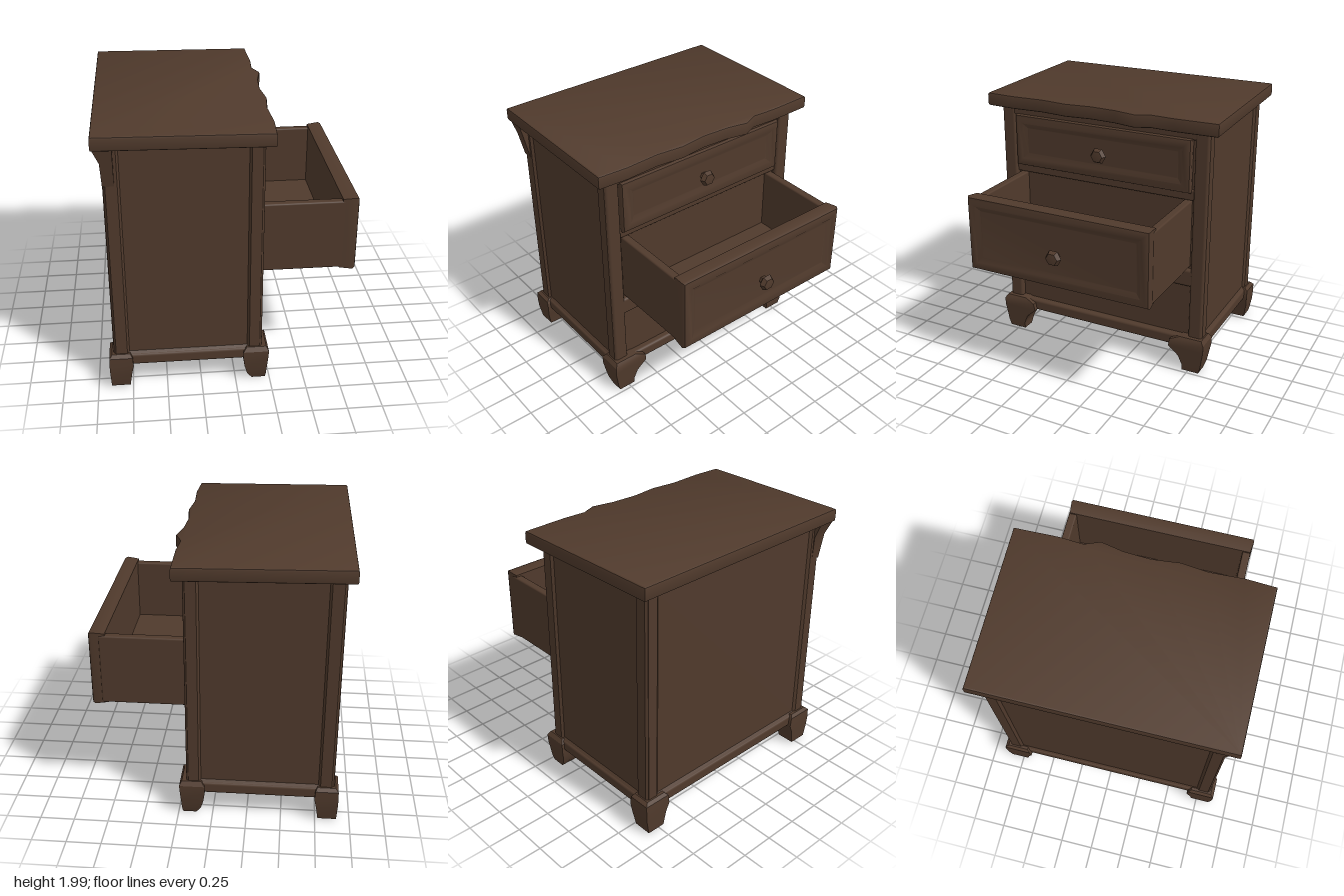
import * as THREE from 'three';
import { toCreasedNormals } from 'three/addons/utils/BufferGeometryUtils.js';
import { RoundedBoxGeometry } from 'three/addons/geometries/RoundedBoxGeometry.js';

const wood = new THREE.MeshStandardMaterial({ color: 0x503a2c });
wood.name = 'dark brown wood';

// Closed skin through rectangles [h, a0, a1, b0, b1] stacked along an axis;
// (a, b) are the next two axes in cyclic order: x -> (y,z), y -> (z,x), z -> (x,y).
function loft(axis, sections) {
  const k = 'xyz'.indexOf(axis), pos = [];
  const rings = sections.map(([h, a0, a1, b0, b1]) =>
    [[a0, b0], [a1, b0], [a1, b1], [a0, b1]].map(([a, b]) => {
      const p = [0, 0, 0];
      p[k] = h; p[(k + 1) % 3] = a; p[(k + 2) % 3] = b;
      return p;
    }));
  const quad = (a, b, c, d) => [a, b, c, a, c, d].forEach(p => pos.push(...p));
  for (let i = 0; i + 1 < rings.length; i++)
    for (let j = 0; j < 4; j++) {
      const n = (j + 1) % 4;
      quad(rings[i][j], rings[i][n], rings[i + 1][n], rings[i + 1][j]);
    }
  const first = rings[0], last = rings[rings.length - 1];
  quad(first[3], first[2], first[1], first[0]);
  quad(...last);
  const g = new THREE.BufferGeometry();
  g.setAttribute('position', new THREE.Float32BufferAttribute(pos, 3));
  return toCreasedNormals(g, 0.6);
}

// The same stack on the opposite side of the axis.
const flip = s => s.map(([h, ...r]) => [-h, ...r]).reverse();

function add(parent, name, geometry) {
  const m = new THREE.Mesh(geometry, wood);
  m.name = name;
  parent.add(m);
  return m;
}

function box(parent, name, x0, x1, y0, y1, z0, z1, r = 0.012) {
  const g = new RoundedBoxGeometry(x1 - x0, y1 - y0, z1 - z0, 2, r);
  g.translate((x0 + x1) / 2, (y0 + y1) / 2, (z0 + z1) / 2);
  return add(parent, name, g);
}

// Framed drawer face with rounded border and sunken field.
function drawerFace(parent, back, front, y0, y1, z0, z1, border) {
  const ring = (x, d) => [x, y0 + d, y1 - d, z0 + d, z1 - d];
  add(parent, 'drawerFront', loft('x', [
    ring(back, 0.01), ring(front - 0.025, 0), ring(front - 0.006, 0.008), ring(front, 0.025),
    ring(front, border - 0.035), ring(front - 0.02, border), ring(front - 0.02, border + 0.005),
  ]));
}

// Small faceted knob pointing along +x.
function knob(parent, x, y) {
  const pts = [[0, -0.03], [0.028, -0.03], [0.032, 0.01], [0.062, 0.03], [0.045, 0.062], [0, 0.068]];
  const g = new THREE.LatheGeometry(pts.map(p => new THREE.Vector2(...p)), 6);
  g.rotateZ(-Math.PI / 2);
  g.translate(x, y, 0);
  add(parent, 'knob', toCreasedNormals(g.toNonIndexed(), 0.5));
}

export function createModel() {
  const model = new THREE.Group();
  model.name = 'nightstand';

  // Cabinet body with recessed side and back panels
  const cabinet = new THREE.Group();
  cabinet.name = 'cabinet';
  model.add(cabinet);
  box(cabinet, 'core', -0.855, 0.15, 0.2, 1.92, -0.815, 0.815, 0.005);
  const side = [
    [0.79, -0.87, 0.18, 0.21, 1.92], [0.825, -0.875, 0.19, 0.21, 1.92], [0.84, -0.86, 0.175, 0.21, 1.92],
    [0.84, -0.78, 0.1, 0.28, 1.89], [0.822, -0.765, 0.085, 0.3, 1.875],
  ];
  add(cabinet, 'leftSide', loft('z', side));
  add(cabinet, 'rightSide', loft('z', flip(side)));
  add(cabinet, 'back', loft('x', flip([
    [0.84, 0.21, 1.92, -0.83, 0.83], [0.878, 0.21, 1.92, -0.825, 0.825],
    [0.878, 0.28, 1.89, -0.75, 0.75], [0.862, 0.3, 1.87, -0.73, 0.73],
  ])));

  // Front posts and rails
  for (const s of [-1, 1])
    box(cabinet, 'frontPost', 0.1, 0.192, 0.2, 1.92, s > 0 ? 0.73 : -0.838, s > 0 ? 0.838 : -0.73, 0.02);
  box(cabinet, 'topRail', 0.1, 0.185, 1.82, 1.92, -0.76, 0.76);
  box(cabinet, 'middleRail', 0.1, 0.17, 1.37, 1.45, -0.76, 0.76);
  box(cabinet, 'lowerRail', 0.1, 0.188, 0.7, 0.835, -0.76, 0.76, 0.02);

  // Base moulding
  for (const s of [-1, 1])
    box(cabinet, 'sideBase', -0.87, 0.19, 0.195, 0.285, s * 0.82 - 0.03, s * 0.82 + 0.03, 0.02);
  box(cabinet, 'frontBase', 0.13, 0.203, 0.195, 0.285, -0.82, 0.82, 0.02);
  box(cabinet, 'backBase', -0.888, -0.83, 0.195, 0.285, -0.82, 0.82, 0.02);

  // Bracket feet: [y, inner z, outer z, x from, x to]
  const frontFoot = [
    [0.01, 0.7, 0.835, 0.12, 0.22], [0.06, 0.7, 0.85, 0.085, 0.225], [0.13, 0.67, 0.86, 0.065, 0.23],
    [0.2, 0.59, 0.872, 0.055, 0.235], [0.26, 0.6, 0.872, 0.055, 0.24], [0.292, 0.68, 0.85, 0.08, 0.222],
  ];
  const backFoot = [
    [0.02, 0.71, 0.85, -0.905, -0.77], [0.13, 0.69, 0.87, -0.91, -0.755],
    [0.2, 0.66, 0.875, -0.912, -0.74], [0.27, 0.67, 0.875, -0.91, -0.745], [0.292, 0.69, 0.85, -0.89, -0.76],
  ];
  for (const [name, foot] of [['frontFoot', frontFoot], ['backFoot', backFoot]]) {
    add(model, name, loft('y', foot));
    add(model, name, loft('y', foot.map(([y, z0, z1, ...x]) => [y, -z1, -z0, ...x])));
  }

  // Worn table top with an uneven front edge
  const edge = [[0.91, 0.25], [0.7, 0.262], [0.45, 0.25], [0.25, 0.272], [0.05, 0.25], [-0.15, 0.262],
    [-0.31, 0.295], [-0.42, 0.25], [-0.6, 0.262], [-0.91, 0.255]];
  const outline = new THREE.Shape([[-0.925, 0.905], ...edge.map(([z, x]) => [x - 0.012, z]), [-0.925, -0.895]]
    .map(([x, z]) => new THREE.Vector2(x, -z)));
  const slab = new THREE.ExtrudeGeometry(outline, {
    depth: 0.065, bevelThickness: 0.017, bevelSize: 0.012, bevelSegments: 2,
  });
  slab.rotateX(-Math.PI / 2);
  slab.translate(0, 1.915, 0);
  const p = slab.attributes.position;
  for (let i = 0; i < p.count; i++) p.setY(i, p.getY(i) - 0.012 * (p.getX(i) + 0.94));
  add(model, 'tableTop', toCreasedNormals(slab, 0.7));

  // Flared corner under the top
  add(model, 'cornerFlare', loft('y', [
    [1.62, 0.77, 0.842, -0.878, -0.8], [1.8, 0.77, 0.88, -0.885, -0.8], [1.91, 0.77, 0.905, -0.93, -0.8],
  ]));

  // Closed upper drawer
  const upper = new THREE.Group();
  upper.name = 'upperDrawer';
  model.add(upper);
  drawerFace(upper, 0.12, 0.21, 1.43, 1.83, -0.71, 0.72, 0.1);
  knob(upper, 0.2, 1.615);

  // Open lower drawer
  const lower = new THREE.Group();
  lower.name = 'openDrawer';
  model.add(lower);
  for (const s of [-1, 1])
    box(lower, 'drawerSide', 0.12, 0.8, 0.845, 1.37, s * 0.68 - 0.03, s * 0.68 + 0.03);
  box(lower, 'drawerBottom', 0.12, 0.8, 0.845, 0.9, -0.67, 0.67);
  drawerFace(lower, 0.755, 0.872, 0.832, 1.395, -0.712, 0.718, 0.1);
  knob(lower, 0.862, 1.075);
  return model;
}
